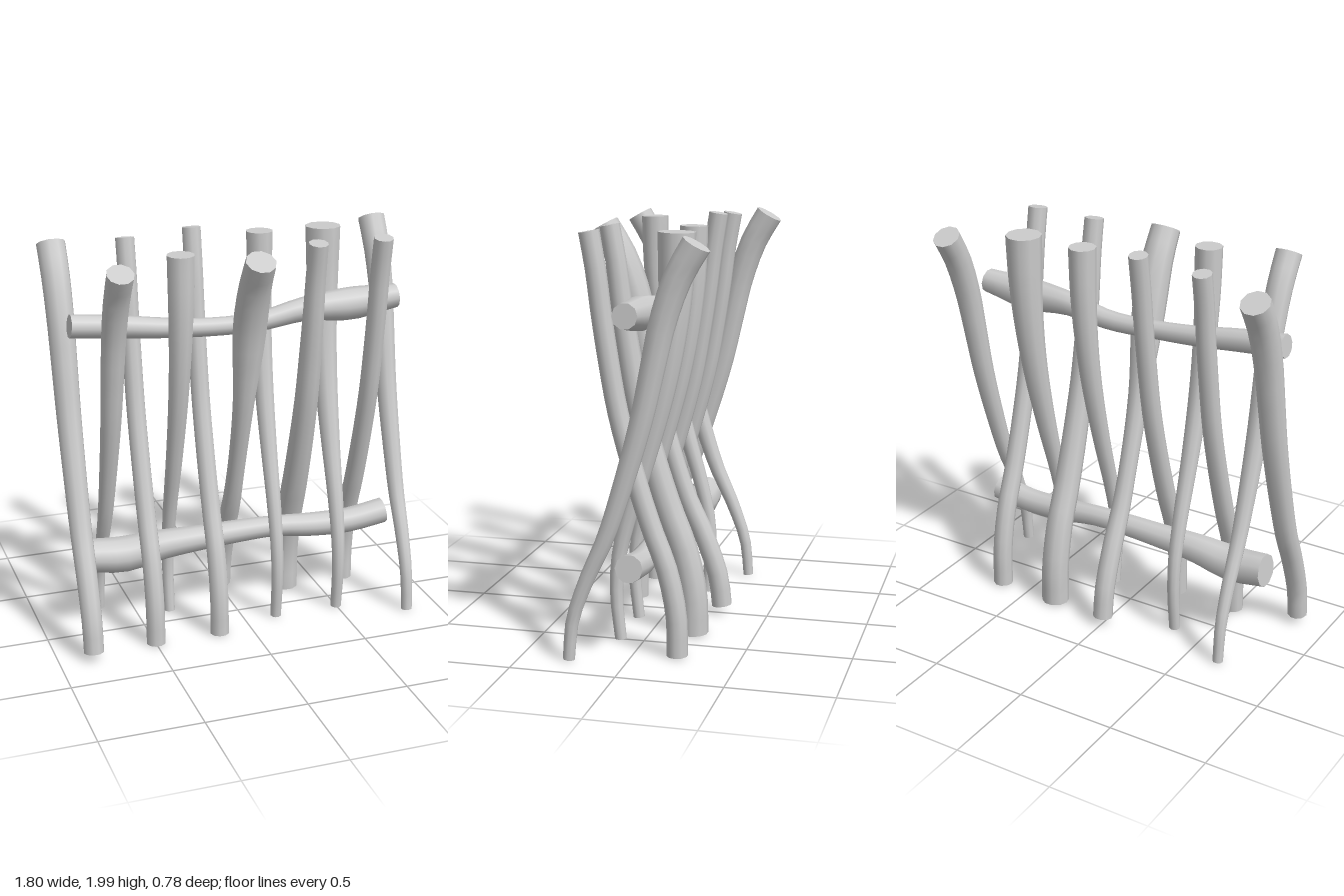
import * as THREE from 'three';
import { mergeGeometries } from 'three/addons/utils/BufferGeometryUtils.js';

const SIDES = 10;
const material = new THREE.MeshStandardMaterial({ color: 0xcccccc });

// Round branch swept along points, its radius following an evenly spaced list, closed by flat ends
function branch(name, points, radii, segments) {
  const path = new THREE.CatmullRomCurve3(points);
  const tube = new THREE.TubeGeometry(path, segments, 1, SIDES, false);
  const girth = new THREE.SplineCurve(radii.map((r, i) => new THREE.Vector2(i, r)));
  const pos = tube.attributes.position;
  const v = new THREE.Vector3();
  for (let i = 0; i <= segments; i++) {
    const u = i / segments;
    const centre = path.getPointAt(u);
    const r = girth.getPoint(u).y;
    for (let j = 0; j <= SIDES; j++) {
      const k = i * (SIDES + 1) + j;
      v.fromBufferAttribute(pos, k).sub(centre).multiplyScalar(r).add(centre);
      pos.setXYZ(k, v.x, v.y, v.z);
    }
  }
  const cap = (ring, u, flip) => {
    const c = path.getPointAt(u);
    const corners = [];
    for (let j = 0; j < SIDES; j++) {
      const a = v.clone().fromBufferAttribute(pos, ring * (SIDES + 1) + j);
      const b = v.clone().fromBufferAttribute(pos, ring * (SIDES + 1) + j + 1);
      corners.push(c, ...(flip ? [b, a] : [a, b]));
    }
    const g = new THREE.BufferGeometry().setFromPoints(corners);
    g.computeVertexNormals();
    return g;
  };
  tube.deleteAttribute('uv');
  const geometry = mergeGeometries([tube.toNonIndexed(), cap(0, 0, false), cap(segments, 1, true)]);
  const mesh = new THREE.Mesh(geometry, material);
  mesh.name = name;
  return mesh;
}

// Side profiles as [z, y] from foot to top, for a pole whose top leans to +z
const PROFILES = {
  wide: [[-0.27, 0.01], [-0.25, 0.2], [-0.18, 0.4], [-0.09, 0.6], [0, 0.87], [0.08, 1.15],
    [0.135, 1.4], [0.18, 1.6], [0.25, 1.8], [0.33, 1.94]],
  medium: [[-0.205, 0.01], [-0.2, 0.2], [-0.155, 0.42], [-0.08, 0.62], [0, 0.87], [0.075, 1.15],
    [0.12, 1.4], [0.15, 1.6], [0.175, 1.8], [0.205, 1.97]],
  narrow: [[-0.115, 0.01], [-0.135, 0.22], [-0.125, 0.4], [-0.08, 0.6], [0, 0.87], [0.085, 1.2],
    [0.13, 1.45], [0.155, 1.7], [0.16, 1.96]],
};

// Poles from right to left: profile, lean of the top, radii from foot to top, foot height
const POLES = [
  ['wide', -1, [0.05, 0.055, 0.063, 0.071], 0.05],
  ['wide', 1, [0.026, 0.04, 0.055, 0.065], 0.01],
  ['medium', -1, [0.048, 0.047, 0.047], 0.01],
  ['narrow', 1, [0.028, 0.038, 0.052, 0.067], 0.01],
  ['medium', -1, [0.048, 0.047, 0.047], 0.01, 0.025],
  ['wide', 1, [0.05, 0.05, 0.045, 0.055, 0.083, 0.073], 0.05],
  ['narrow', -1, [0.028, 0.038, 0.052, 0.067], 0.01],
  ['medium', 1, [0.07, 0.065, 0.057, 0.048], 0.01],
  ['narrow', -1, [0.028, 0.042, 0.064, 0.088], 0.01],
  ['medium', 1, [0.05, 0.048, 0.048], 0.01],
  ['wide', -1, [0.028, 0.042, 0.055, 0.068], 0.01],
];

// Rails as [x, y, z, radius]
const UPPER_RAIL = [[-0.83, 1.62, 0, 0.057], [-0.6, 1.597, 0.003, 0.055], [-0.37, 1.568, 0.003, 0.049],
  [-0.13, 1.55, 0.005, 0.045], [0.11, 1.55, -0.005, 0.048], [0.35, 1.59, -0.008, 0.06],
  [0.59, 1.595, -0.008, 0.081], [0.83, 1.615, -0.005, 0.06]];
const LOWER_RAIL = [[-0.78, 0.43, -0.015, 0.083], [-0.6, 0.412, -0.012, 0.09], [-0.4, 0.435, -0.01, 0.075],
  [-0.2, 0.443, -0.01, 0.064], [0, 0.45, -0.01, 0.058], [0.2, 0.45, -0.01, 0.054],
  [0.4, 0.43, -0.01, 0.061], [0.6, 0.425, -0.01, 0.064], [0.8, 0.453, -0.01, 0.066]];

export function createModel() {
  const model = new THREE.Group();
  model.name = 'crossedPoleFence';

  // Alternating crossed poles
  POLES.forEach(([profile, lean, radii, foot, raise = 0], i) => {
    const x = -0.83 + i * 0.166;
    const points = PROFILES[profile].map(([z, y], k, all) =>
      new THREE.Vector3(x, k === 0 ? foot : k === all.length - 1 ? y + raise : y, z * lean));
    model.add(branch(`pole${i + 1}`, points, radii, 24));
  });

  // Rails lying in the upper and lower forks
  for (const [name, rail] of [['upperRail', UPPER_RAIL], ['lowerRail', LOWER_RAIL]]) {
    const points = rail.map(([x, y, z]) => new THREE.Vector3(x, y, z));
    model.add(branch(name, points, rail.map((p) => p[3]), 24));
  }
  return model;
}
